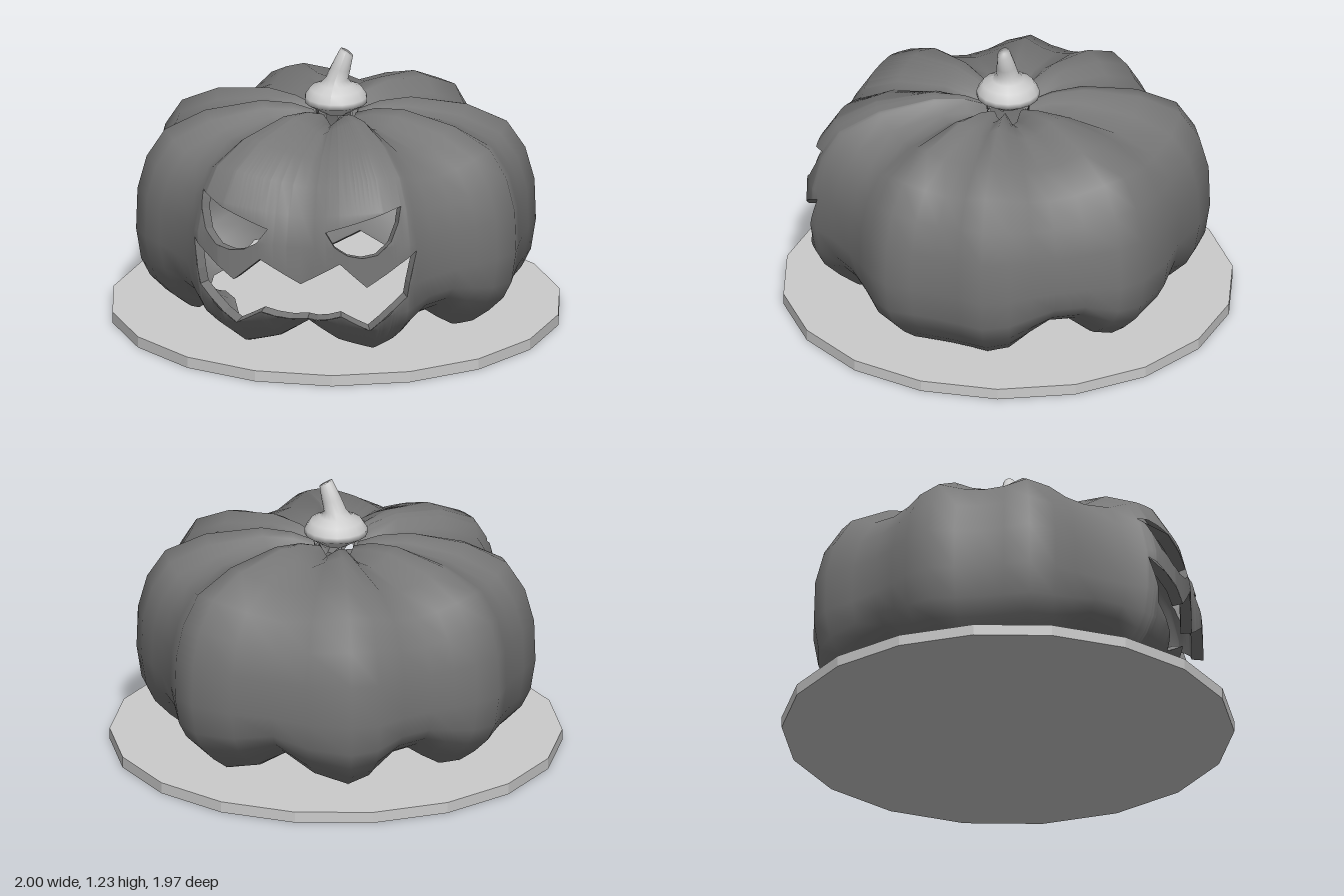
import * as THREE from 'three';
import { mergeVertices } from 'three/addons/utils/BufferGeometryUtils.js';

const grey = new THREE.MeshStandardMaterial({ color: 0xcccccc });
const flatGrey = new THREE.MeshStandardMaterial({ color: 0xcccccc, flatShading: true });
const skin = new THREE.MeshStandardMaterial({ color: 0x777777, side: THREE.DoubleSide });
const flatSkin = new THREE.MeshStandardMaterial({ color: 0x777777, side: THREE.DoubleSide, flatShading: true });

// One quadrant of the ribbed plan: [degrees from the side, radius, lift of the bottom edge]
const ribs = [
  [0, 0.84, 0], [7.5, 0.852, 0], [15, 0.885, 0], [23, 0.86, 0.1], [30, 0.825, 0.5], [38, 0.81, 1],
  [48, 0.825, 0.95], [57, 0.885, 0.3], [65, 0.893, 0], [78, 0.86, 0.35], [90, 0.82, 1],
];
// Wall profile from the open bottom to the stem: [fraction of the radius, height]
const profile = [
  [0.72, 0.05], [0.76, 0.06], [0.85, 0.12], [0.93, 0.19], [0.975, 0.27], [1, 0.41], [0.993, 0.6],
  [0.947, 0.75], [0.855, 0.875], [0.655, 0.96], [0.375, 1], [0.22, 0.985], [0.11, 0.95],
];
const TOP = profile.length - 1, MID = 0.41, INNER = 0.94;
const lerp = THREE.MathUtils.lerp, clamp = THREE.MathUtils.clamp;

function ribAt(deg) {
  let a = ((deg % 180) + 180) % 180;
  if (a > 90) a = 180 - a;
  let i = 0;
  while (i < ribs.length - 2 && ribs[i + 1][0] < a) i++;
  const t = (a - ribs[i][0]) / (ribs[i + 1][0] - ribs[i][0]);
  return [lerp(ribs[i][1], ribs[i + 1][1], t), lerp(ribs[i][2], ribs[i + 1][2], t)];
}

// Point on the wall at an angle (degrees) and a fractional profile row
function wall(deg, v, scale = 1) {
  const [r, lift] = ribAt(deg);
  const i = Math.min(Math.floor(v), TOP - 1), t = v - i;
  const rho = lerp(profile[i][0], profile[i + 1][0], t) * r * scale;
  const y = lerp(profile[i][1], profile[i + 1][1], t) - MID;
  const dip = y > 0 ? 0.13 * clamp((0.89 - r) / 0.08, 0, 1) : 0.33 * lift;
  const a = THREE.MathUtils.degToRad(deg);
  return new THREE.Vector3(rho * Math.cos(a), MID + y * (1 - dip) * scale, rho * Math.sin(a));
}

function bisect(lo, hi, below) {
  for (let i = 0; i < 30; i++) {
    const m = (lo + hi) / 2;
    if (below(m)) lo = m; else hi = m;
  }
  return (lo + hi) / 2;
}

// Finds the angle and row of a point seen from the front
function toWall([x, y]) {
  let deg = 90, v = 5;
  for (let i = 0; i < 12; i++) {
    v = bisect(0, 10, (m) => wall(deg, m).y < y);
    deg = bisect(40, 140, (m) => wall(m, v).x > x);
  }
  return [deg, v];
}

// Face cut-outs
const eye = [[0.45, 0.765], [0.13, 0.655], [0.175, 0.595], [0.235, 0.56], [0.3, 0.55],
  [0.365, 0.565], [0.42, 0.62], [0.445, 0.7]];
const mouthHalf = [[0, 0.41], [0.18, 0.52], [0.3, 0.415], [0.5, 0.56], [0.465, 0.355], [0.3, 0.19],
  [0.18, 0.265], [0, 0.192]];
const mouth = [...mouthHalf, ...mouthHalf.slice(1, -1).reverse().map(([x, y]) => [-x, y])];
const cutouts = [eye.map(([x, y]) => [x - 0.02, y]), eye.map(([x, y]) => [-x - 0.02, y]), mouth];

// Cut-out edges on the wall, each split so that it stays straight from the front
const edges = [];
for (const hole of cutouts) {
  const pts = hole.flatMap((p, i) => {
    const q = hole[(i + 1) % hole.length];
    return [0, 1, 2].map((k) => toWall([lerp(p[0], q[0], k / 3), lerp(p[1], q[1], k / 3)]));
  });
  pts.forEach((p, i) => edges.push([p, pts[(i + 1) % pts.length]]));
}

function geometryOf(points) {
  return new THREE.BufferGeometry().setFromPoints(points);
}

function quad(out, a, b, c, d) {
  out.push(a, b, c, a, c, d);
}

// Angles of all columns: the ribs plus every cut-out corner
function columns() {
  const list = edges.map((e) => e[0][0]);
  for (const [d] of ribs) list.push(d, 180 - d, 180 + d, 360 - d);
  list.sort((a, b) => a - b);
  return list.filter((d, i) => i === 0 || d - list[i - 1] > 1e-5);
}

// Skin between the cut-outs, strip by strip
function shell(scale) {
  const out = [], cols = columns();
  for (let c = 0; c < cols.length - 1; c++) {
    const L = cols[c], R = cols[c + 1], mid = (L + R) / 2;
    const cuts = edges
      .filter(([p, q]) => Math.min(p[0], q[0]) < mid && Math.max(p[0], q[0]) > mid)
      .map(([p, q]) => [L, R].map((d) => lerp(p[1], q[1], clamp((d - p[0]) / (q[0] - p[0]), 0, 1))))
      .sort((a, b) => a[0] + a[1] - b[0] - b[1]);
    const bounds = [[0, 0], ...cuts, [TOP, TOP]];
    for (let s = 0; s < bounds.length; s += 2) {
      const [lo, hi] = [bounds[s], bounds[s + 1]];
      for (let k = 0; k < TOP; k++) {
        const l0 = clamp(k, lo[0], hi[0]), l1 = clamp(k + 1, lo[0], hi[0]);
        const r0 = clamp(k, lo[1], hi[1]), r1 = clamp(k + 1, lo[1], hi[1]);
        if (l1 - l0 < 1e-6 && r1 - r0 < 1e-6) continue;
        const p = [wall(L, l0, scale), wall(L, l1, scale), wall(R, r1, scale), wall(R, r0, scale)];
        if (scale < 1) p.reverse();
        quad(out, ...p);
      }
    }
  }
  const geo = mergeVertices(geometryOf(out), 1e-4);
  geo.computeVertexNormals();
  return geo;
}

// Thickness of the wall along the cut-outs and the bottom edge
function rims() {
  const out = [], cols = columns();
  const band = (p, q) => quad(out, wall(...p), wall(...q), wall(...q, INNER), wall(...p, INNER));
  edges.forEach(([p, q]) => band(p, q));
  for (let c = 0; c < cols.length - 1; c++) band([cols[c], 0], [cols[c + 1], 0]);
  const geo = geometryOf(out);
  geo.computeVertexNormals();
  return geo;
}

// Turned stem that leans to one side, with a slanted tip
function stemGeometry() {
  const rings = [[0.05, 0.93], [0.14, 0.985], [0.138, 1.01], [0.115, 1.045], [0.07, 1.065],
    [0.05, 1.09], [0.042, 1.14], [0.028, 1.215], [0, 1.215]];
  const geo = new THREE.LatheGeometry(rings.map(([r, y]) => new THREE.Vector2(r, y)), 16);
  const pos = geo.attributes.position;
  for (let i = 0; i < pos.count; i++) {
    const x = pos.getX(i), y = pos.getY(i);
    const lean = clamp((y - 1.08) / 0.135, 0, 1);
    pos.setXYZ(i, x + 0.048 * lean, y - 0.6 * x * lean, pos.getZ(i));
  }
  geo.computeVertexNormals();
  return geo;
}

export function createModel() {
  const group = new THREE.Group();
  const add = (name, geo, mat) => {
    const mesh = new THREE.Mesh(geo, mat);
    mesh.name = name;
    group.add(mesh);
    return mesh;
  };
  // Base plate
  add('basePlate', new THREE.CylinderGeometry(1, 1, 0.05, 18, 1, false, Math.PI / 2), flatGrey).position.y = 0.025;
  // Hollow carved pumpkin
  add('pumpkinOuterSkin', shell(1), skin);
  add('pumpkinInnerSkin', shell(INNER), skin);
  add('carvedRims', rims(), flatSkin);
  // Stem
  add('stem', stemGeometry(), grey);
  return group;
}
